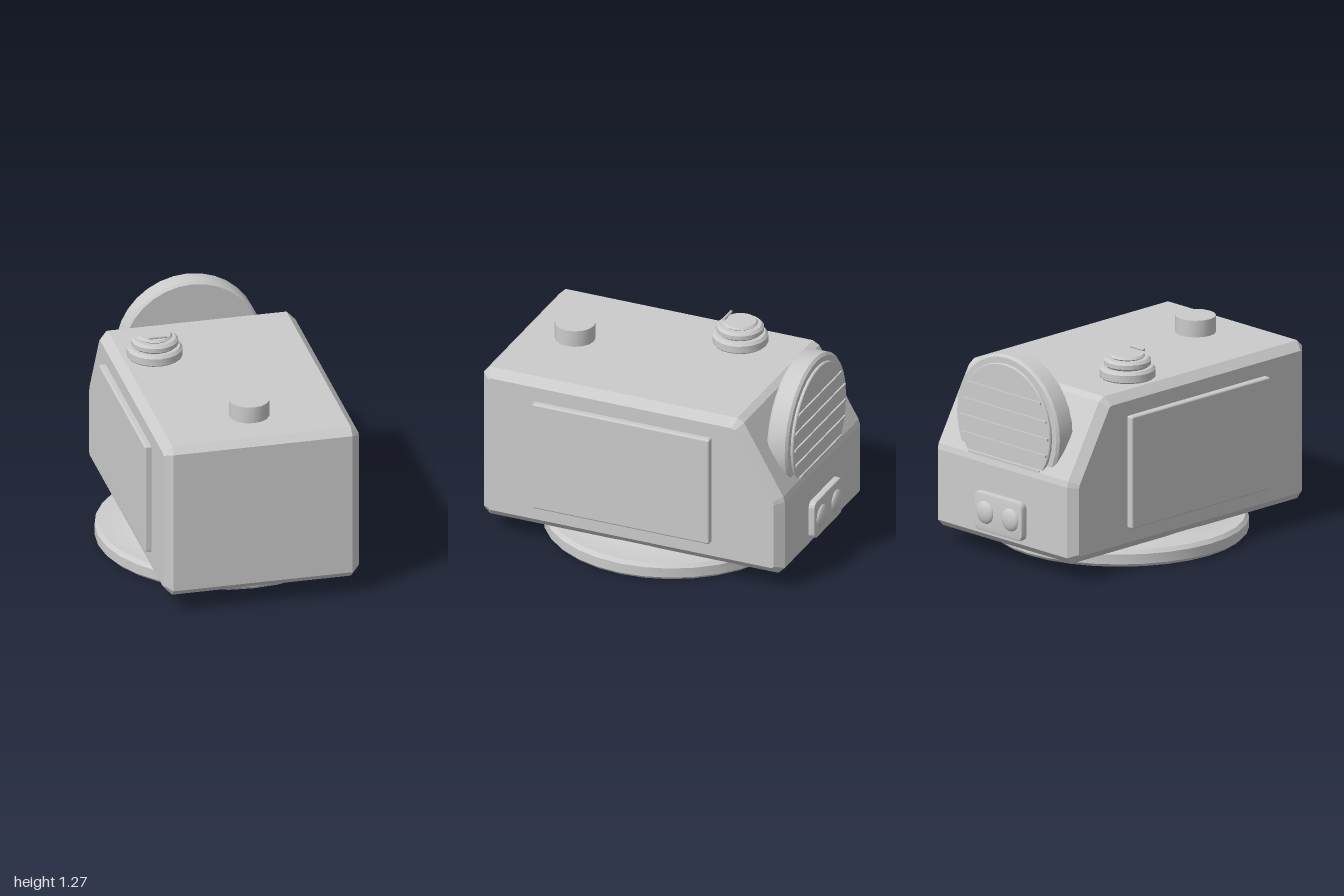
import * as THREE from 'three';
import { toCreasedNormals } from 'three/addons/utils/BufferGeometryUtils.js';
import { RoundedBoxGeometry } from 'three/addons/geometries/RoundedBoxGeometry.js';

const material = new THREE.MeshStandardMaterial({ color: 0xcccccc });

function part(name, geometry, parent, x = 0, y = 0, z = 0) {
  const mesh = new THREE.Mesh(geometry, material);
  mesh.name = name;
  mesh.position.set(x, y, z);
  parent.add(mesh);
  return mesh;
}

// Turned solid from [radius, height] pairs, bottom to top
function turned(profile, sides) {
  const points = profile.map(([r, h]) => new THREE.Vector2(r, h));
  return toCreasedNormals(new THREE.LatheGeometry(points, sides), 0.45);
}

// Polygon whose corners are cut back by a small distance
function cutShape(corners, cut) {
  const pts = corners.map(([a, b]) => new THREE.Vector2(a, b));
  const out = [];
  pts.forEach((p, i) => {
    for (const q of [pts[(i + pts.length - 1) % pts.length], pts[(i + 1) % pts.length]]) {
      out.push(p.clone().add(q.clone().sub(p).setLength(cut)));
    }
  });
  return new THREE.Shape(out);
}

function roundedRect(w, h, r) {
  const s = new THREE.Shape();
  s.absarc(w / 2 - r, h / 2 - r, r, 0, Math.PI / 2);
  s.absarc(-w / 2 + r, h / 2 - r, r, Math.PI / 2, Math.PI);
  s.absarc(-w / 2 + r, -h / 2 + r, r, Math.PI, Math.PI * 1.5);
  s.absarc(w / 2 - r, -h / 2 + r, r, Math.PI * 1.5, Math.PI * 2);
  s.closePath();
  return s;
}

export function createModel() {
  const model = new THREE.Group();

  // Body: side profile (z, y) extruded across x with chamfered edges
  const profile = cutShape([[-0.885, 0.16], [0.95, 0.16], [0.95, 1.03], [-0.63, 1.03], [-0.885, 0.59]], 0.012);
  const body = new THREE.ExtrudeGeometry(profile, {
    depth: 1.08, bevelEnabled: true, bevelThickness: 0.05, bevelSize: 0.05, bevelSegments: 1,
  });
  body.translate(0, 0, -0.54);
  body.rotateY(-Math.PI / 2);
  part('body', body, model);

  // Round base
  part('base', turned([[0, 0], [0.74, 0], [0.76, 0.02], [0.76, 0.08], [0.74, 0.103], [0.57, 0.106], [0.55, 0.115], [0, 0.115]], 32),
    model, 0, 0, 0.03);

  // Side panels
  for (const side of [-1, 1]) {
    part(side > 0 ? 'leftPanel' : 'rightPanel', new RoundedBoxGeometry(0.05, 0.69, 1.14, 2, 0.012),
      model, side * 0.605, 0.595, 0.083);
  }

  // Front knob
  part('frontKnob', toCreasedNormals(new THREE.CylinderGeometry(0.12, 0.12, 0.12, 16), 0.5), model, 0, 1.122, 0.655);

  // Stepped dial with a small pointer bar
  const dial = new THREE.Group();
  dial.name = 'dial';
  dial.position.set(-0.35, 1.075, -0.25);
  model.add(dial);
  part('dialLower', turned([[0, 0], [0.155, 0], [0.165, 0.012], [0.165, 0.055], [0.15, 0.072], [0, 0.072]], 20), dial);
  part('dialMiddle', turned([[0, 0.065], [0.125, 0.072], [0.14, 0.085], [0.14, 0.11], [0.125, 0.125], [0, 0.125]], 20), dial);
  part('dialCap', turned([[0, 0.12], [0.095, 0.125], [0.105, 0.133], [0.095, 0.145], [0, 0.145]], 20), dial);
  const pointer = new THREE.CylinderGeometry(0.009, 0.009, 0.11, 8);
  pointer.rotateZ(Math.PI / 2);
  part('dialPointer', pointer, dial, 0, 0.16, 0.083);

  // Rear vent: thick disc with a raised face and horizontal ribs
  const vent = new THREE.Group();
  vent.name = 'rearVent';
  vent.position.set(0, 0.84, 0);
  model.add(vent);
  const rim = turned([[0, 0.765], [0.415, 0.765], [0.43, 0.78], [0.43, 0.885], [0.415, 0.9], [0, 0.9]], 32);
  rim.rotateX(-Math.PI / 2);
  part('ventRim', rim, vent);
  const face = turned([[0, 0.89], [0.38, 0.89], [0.38, 0.912], [0.375, 0.917], [0, 0.917]], 32);
  face.rotateX(-Math.PI / 2);
  part('ventFace', face, vent);
  for (let i = -2; i <= 2; i++) {
    const y = i * 0.105 - 0.005;
    const width = 2 * Math.sqrt(0.375 ** 2 - y * y) - 0.02;
    part('ventRib', new THREE.BoxGeometry(width, 0.014, 0.02), vent, 0, y, -0.917);
  }

  // Rear button plate with two domed buttons
  const plate = new THREE.ExtrudeGeometry(roundedRect(0.38, 0.22, 0.03), {
    depth: 0.03, bevelEnabled: true, bevelThickness: 0.01, bevelSize: 0.01, bevelSegments: 2, curveSegments: 5,
  });
  plate.rotateY(Math.PI);
  part('buttonPlate', toCreasedNormals(plate, 0.6), model, 0, 0.3, -0.935);
  for (const side of [-1, 1]) {
    const button = new THREE.SphereGeometry(0.07, 16, 10);
    button.scale(1, 1, 0.4);
    part('rearButton', button, model, side * 0.105, 0.3, -0.972);
  }

  return model;
}
